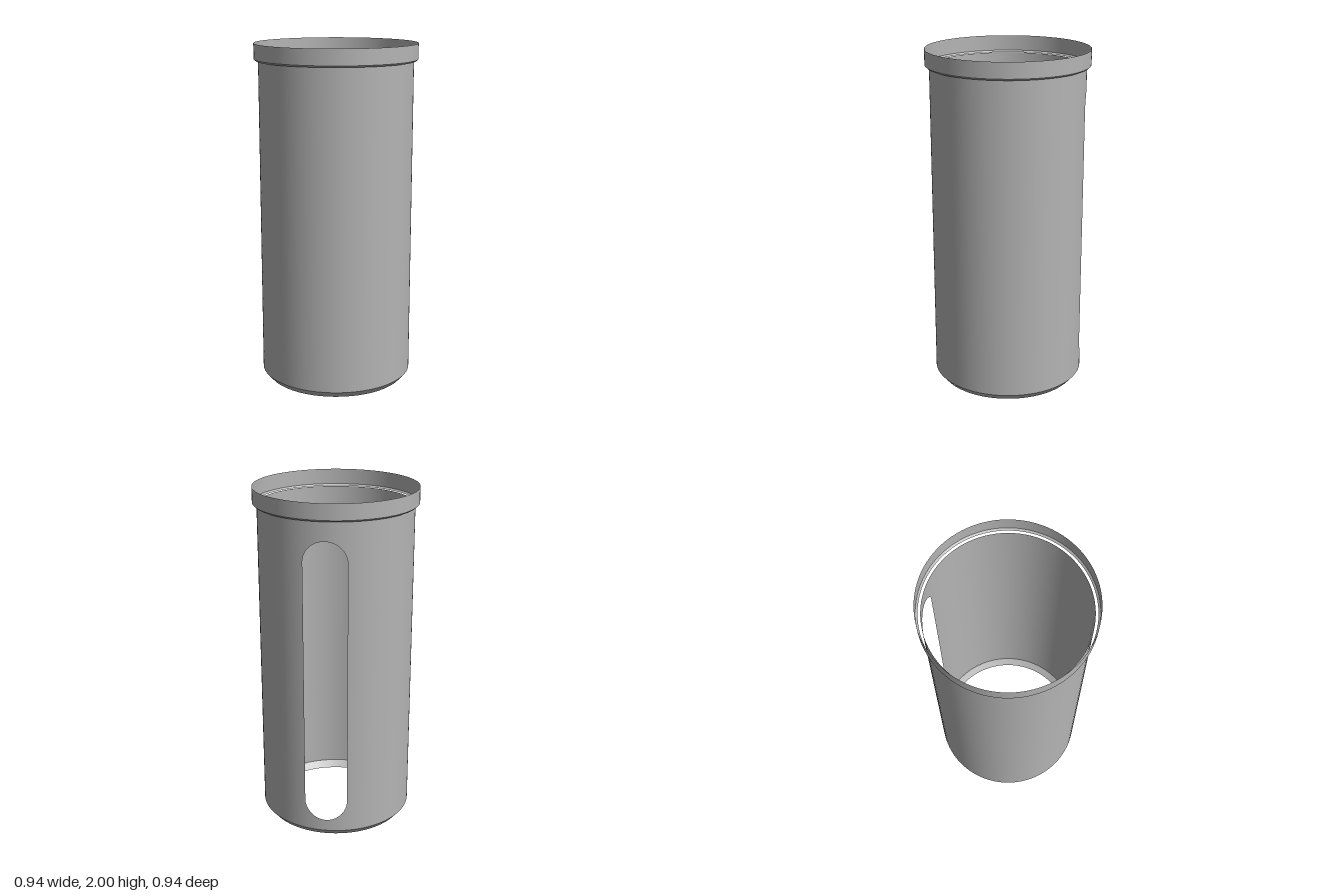
import * as THREE from 'three';

const R = 0.447;                  // body radius
const BODY_BOTTOM = 0.04, BODY_TOP = 1.9;
const SLOT_W = 0.123;             // slot half width and end radius
const SLOT_LOW = 0.233, SLOT_HIGH = 1.667; // centres of the round slot ends
const SEGMENTS = 96;

const grey = new THREE.MeshStandardMaterial({ color: 0xb4b4b4, side: THREE.DoubleSide });
grey.name = 'plain grey';

function add(group, name, geometry) {
  const mesh = new THREE.Mesh(geometry, grey);
  mesh.name = name;
  group.add(mesh);
}

// Open conical or straight band between two heights
function band(rBottom, rTop, y0, y1, start = 0, length = Math.PI * 2) {
  return new THREE.CylinderGeometry(rTop, rBottom, y1 - y0, SEGMENTS, 1, true, start, length)
    .translate(0, (y0 + y1) / 2, 0);
}

// Curved wall piece on the back, from a round slot end to a straight edge
function slotEnd(centreY, direction, edgeY) {
  const geo = new THREE.PlaneGeometry(1, 1, 40, 1);
  const { position, normal, uv } = geo.attributes;
  for (let i = 0; i < position.count; i++) {
    const t = uv.getX(i) * Math.PI;
    const x = SLOT_W * Math.cos(t);
    const z = -Math.sqrt(R * R - x * x);
    const arcY = centreY + direction * SLOT_W * Math.sin(t);
    const isEdge = (uv.getY(i) > 0.5) === (direction > 0);
    position.setXYZ(i, x, isEdge ? edgeY : arcY, z);
    normal.setXYZ(i, x / R, 0, z / R);
  }
  return geo;
}

export function createModel() {
  const model = new THREE.Group();
  model.name = 'slottedSleeve';

  // Body wall, left open over the slot, with the slot's rounded ends filled in
  const body = new THREE.Group();
  body.name = 'body';
  const half = Math.asin(SLOT_W / R);
  add(body, 'wall', band(R, R, BODY_BOTTOM, BODY_TOP, Math.PI + half, 2 * (Math.PI - half)));
  add(body, 'slotTop', slotEnd(SLOT_HIGH, 1, BODY_TOP));
  add(body, 'slotBottom', slotEnd(SLOT_LOW, -1, BODY_BOTTOM));
  add(body, 'bottomChamfer', band(0.413, R, 0, BODY_BOTTOM));
  model.add(body);

  // Collar, standing clear of the body by a narrow gap
  const collar = new THREE.Group();
  collar.name = 'collar';
  add(collar, 'collarWall', band(0.472, 0.472, 1.91, 2));
  add(collar, 'collarChamfer', band(0.461, 0.472, 1.9, 1.91));
  model.add(collar);

  return model;
}
